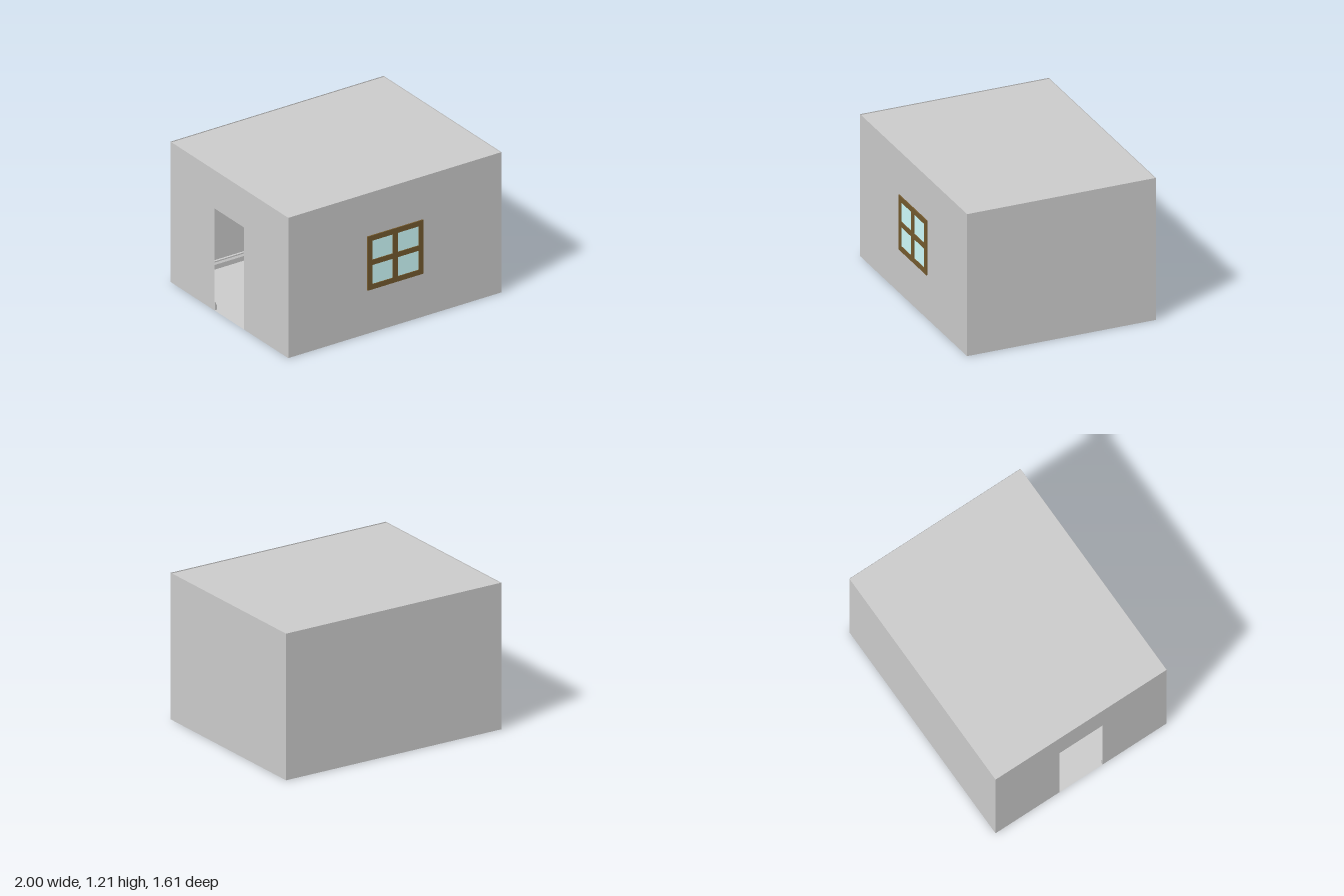
import * as THREE from 'three';

const W = 2, D = 1.6, H = 1.21, CZ = -0.005;
const DOOR = { half: 0.2, height: 0.88 };
const WIN = { x: 0.26, y0: 0.375, y1: 0.84 };

const material = (color) => new THREE.MeshStandardMaterial({ color, side: THREE.DoubleSide });

function rect(Type, x0, y0, x1, y1) {
  const p = new Type();
  p.moveTo(x0, y0);
  p.lineTo(x1, y0);
  p.lineTo(x1, y1);
  p.lineTo(x0, y1);
  p.closePath();
  return p;
}

export function createModel() {
  const model = new THREE.Group();
  const grey = material(0xcccccc);
  const wood = material(0x745a2e);
  const glass = material(0xd0fefe);

  const add = (parent, name, geometry, mat, x = 0, y = 0, z = 0, rx = 0, ry = 0) => {
    const mesh = new THREE.Mesh(geometry, mat);
    mesh.name = name;
    mesh.position.set(x, y, z);
    mesh.rotation.set(rx, ry, 0);
    parent.add(mesh);
    return mesh;
  };

  // Room shell, centred in depth just behind the window frame
  const room = new THREE.Group();
  room.name = 'room';
  room.position.z = CZ;
  model.add(room);

  // Thin walls: the front has the window opening, the -x side the doorway
  const wall = (name, width, x, z, ry, hole) => {
    const shape = rect(THREE.Shape, -width / 2, 0, width / 2, H);
    if (hole) shape.holes.push(hole);
    add(room, name, new THREE.ShapeGeometry(shape), grey, x, 0, z, 0, ry);
  };
  wall('frontWall', W, 0, D / 2, 0,
    rect(THREE.Path, -WIN.x + 0.01, WIN.y0 + 0.01, WIN.x - 0.01, WIN.y1 - 0.01));
  wall('backWall', W, 0, -D / 2, Math.PI);
  wall('leftWall', D, W / 2, 0, Math.PI / 2);

  // Doorway wall is an outline notched at the floor
  const doorWall = new THREE.Shape([
    [-D / 2, 0], [-DOOR.half, 0], [-DOOR.half, DOOR.height], [DOOR.half, DOOR.height],
    [DOOR.half, 0], [D / 2, 0], [D / 2, H], [-D / 2, H],
  ].map(([x, y]) => new THREE.Vector2(x, y)));
  add(room, 'doorWall', new THREE.ShapeGeometry(doorWall), grey, -W / 2, 0, 0, 0, -Math.PI / 2);

  // Floor, and a roof set slightly below the wall tops
  add(room, 'floor', new THREE.PlaneGeometry(W, D), grey, 0, 0, 0, Math.PI / 2);
  add(room, 'roof', new THREE.PlaneGeometry(W, D), grey, 0, H - 0.008, 0, -Math.PI / 2);

  // Skirting boards with a chamfered top, broken at the doorway
  const profile = new THREE.Shape([
    [0, 0], [0.02, 0], [0.02, 0.04], [0.01, 0.055], [0.01, 0.065], [0, 0.07],
  ].map(([x, y]) => new THREE.Vector2(x, y)));
  const skirting = (name, length, x, z, ry) => {
    const g = new THREE.ExtrudeGeometry(profile, { depth: length, bevelEnabled: false });
    g.translate(0, 0, -length / 2);
    add(room, name, g, grey, x, 0.001, z, 0, ry);
  };
  const e = 0.001;
  skirting('frontSkirting', W - 2 * e, 0, D / 2 - e, Math.PI / 2);
  skirting('backSkirting', W - 2 * e, 0, -D / 2 + e, -Math.PI / 2);
  skirting('leftSkirting', D - 2 * e, W / 2 - e, 0, Math.PI);
  const piece = D / 2 - DOOR.half - e;
  for (const s of [-1, 1]) {
    skirting('doorSkirting', piece, -W / 2 + e, s * (DOOR.half + piece / 2), 0);
  }

  // Window: a four-light frame through the front wall
  const win = new THREE.Group();
  win.name = 'window';
  win.position.z = 0.785;
  model.add(win);
  const frame = rect(THREE.Shape, -WIN.x, WIN.y0, WIN.x, WIN.y1);
  for (const x of [-0.12, 0.12]) {
    for (const y of [0.502, 0.712]) {
      frame.holes.push(rect(THREE.Path, x - 0.097, y - 0.083, x + 0.097, y + 0.083));
      add(win, 'windowPane', new THREE.BoxGeometry(0.194, 0.166, 0.006), glass, x, y, 0.01);
    }
  }
  add(win, 'windowFrame',
    new THREE.ExtrudeGeometry(frame, { depth: 0.02, bevelEnabled: false }), wood);

  return model;
}
